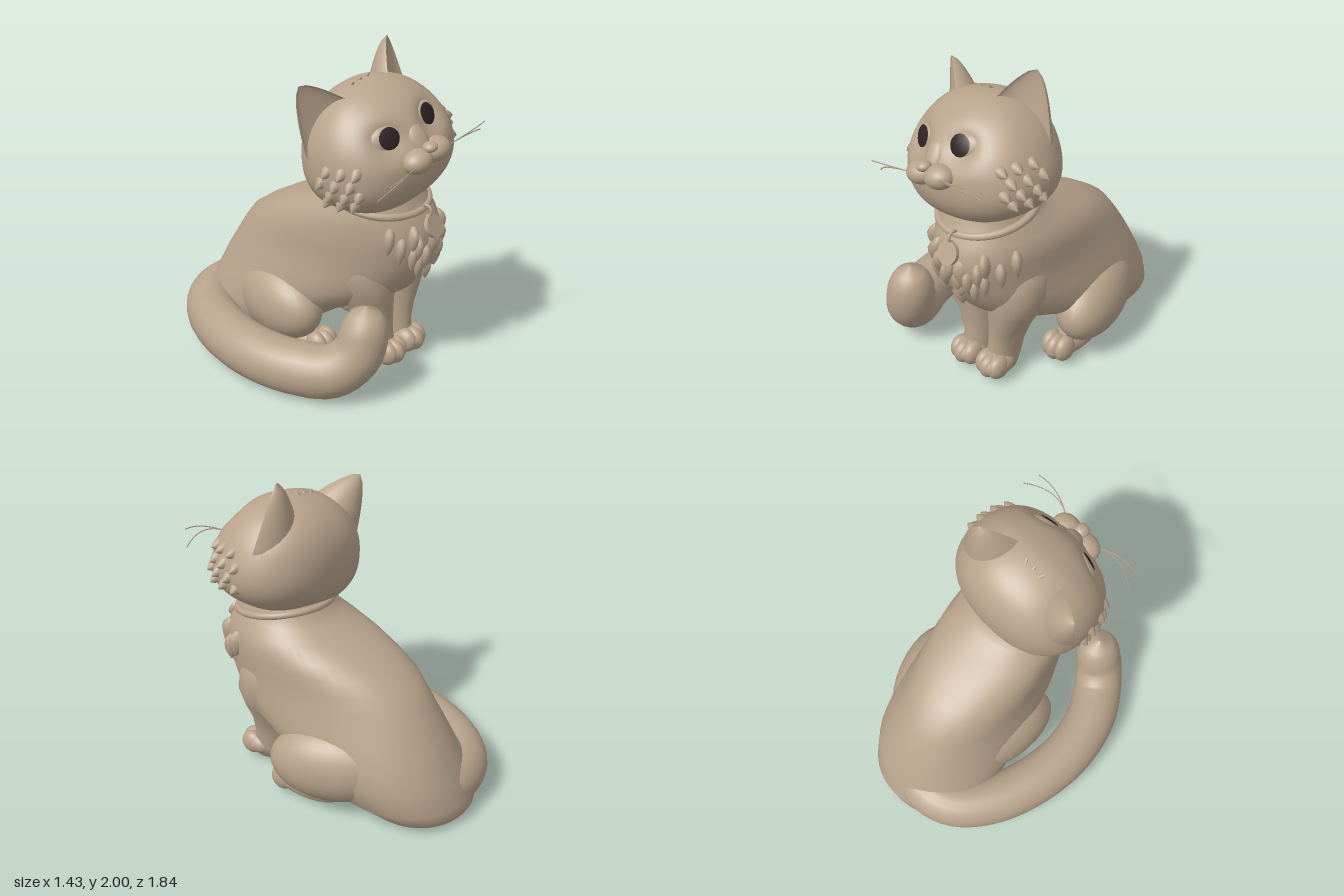
import * as THREE from 'three';
import { mergeVertices } from 'three/addons/utils/BufferGeometryUtils.js';

const V = (x, y, z) => new THREE.Vector3(x, y, z);
const MID = 0.18; // the body's own centre line
const UP = V(0, 1, 0);

// Smooth closed skin over a stack of rings
function loft(rings) {
  const n = rings[0].length, m = rings.length, pos = [], idx = [];
  rings.forEach((r) => r.forEach((p) => pos.push(p.x, p.y, p.z)));
  for (const r of [rings[0], rings[m - 1]]) {
    const c = r.reduce((a, p) => a.add(p), V(0, 0, 0)).divideScalar(n);
    pos.push(c.x, c.y, c.z);
  }
  for (let j = 0; j < n; j++) {
    const k = (j + 1) % n;
    for (let i = 0; i < m - 1; i++) {
      const a = i * n + j, b = i * n + k;
      idx.push(a, a + n, b, a + n, b + n, b);
    }
    idx.push(m * n, j, k, m * n + 1, (m - 1) * n + k, (m - 1) * n + j);
  }
  const g = new THREE.BufferGeometry();
  g.setAttribute('position', new THREE.Float32BufferAttribute(pos, 3));
  g.setIndex(idx);
  g.computeVertexNormals();
  return g;
}

// Horizontal rounded ring
function ring(y, cx, cz, hw, d, power = 2, n = 32) {
  const bend = (v) => Math.sign(v) * Math.abs(v) ** (2 / power);
  return Array.from({ length: n }, (_, j) => {
    const a = (j / n) * Math.PI * 2;
    return V(cx + hw * bend(Math.cos(a)), y, cz + d * bend(Math.sin(a)));
  });
}

// Torso table: height, back z, front z, centre x, half width
const TORSO_POWER = 2.15;
const TORSO = [
  [0, -0.87, -0.42, 0.11, 0.26], [0.05, -0.92, -0.25, 0.12, 0.35], [0.15, -0.925, -0.02, 0.14, 0.42],
  [0.3, -0.86, 0.2, 0.16, 0.445], [0.42, -0.805, 0.45, 0.17, 0.44], [0.52, -0.755, 0.6, 0.17, 0.425],
  [0.62, -0.695, 0.68, 0.17, 0.405], [0.72, -0.63, 0.735, 0.165, 0.385], [0.82, -0.55, 0.765, 0.16, 0.38],
  [0.9, -0.43, 0.77, 0.16, 0.375], [0.97, -0.3, 0.755, 0.16, 0.365], [1.04, -0.12, 0.725, 0.15, 0.34],
  [1.1, 0.03, 0.685, 0.14, 0.3], [1.17, 0.11, 0.66, 0.13, 0.275], [1.28, 0.14, 0.62, 0.12, 0.26],
];
function chestZ(x, y) {
  const i = TORSO.findIndex((r) => r[0] >= y);
  const a = TORSO[i - 1], b = TORSO[i], t = (y - a[0]) / (b[0] - a[0]);
  const [, zb, zf, cx, hw] = a.map((v, k) => v + (b[k] - v) * t);
  const q = Math.min(1, Math.abs((x - cx) / hw));
  return (zf + zb) / 2 + ((zf - zb) / 2) * (1 - q ** TORSO_POWER) ** (1 / TORSO_POWER);
}

// Head: a rounded ellipsoid, narrower and sloping back towards the top, with eye sockets
const RX = 0.465, RY = 0.365, RZ = 0.38, HP = 2.3, EYE = [0.172, 0.14];
function setBack(x, y) {
  const dent = Math.exp(-(((Math.abs(x) - EYE[0]) / 0.1) ** 2) - ((y - EYE[1]) / 0.08) ** 2);
  return 0.12 * y + 0.12 * Math.max(0, y) + 0.07 * dent;
}
function headPoint(d) {
  const f = (Math.abs(d.x) ** HP + Math.abs(d.y) ** HP + Math.abs(d.z) ** HP) ** (-1 / HP);
  const y = d.y * f, x = d.x * f * RX * (1 - 0.16 * y), z = d.z * f * RZ;
  return V(x, y * RY, z - setBack(x, y * RY) * THREE.MathUtils.smoothstep(z, -0.1, 0.2));
}
function faceZ(x, y) {
  const Y = y / RY, X = x / (RX * (1 - 0.16 * Y));
  return RZ * Math.max(0, 1 - Math.abs(X) ** HP - Math.abs(Y) ** HP) ** (1 / HP) - setBack(x, y);
}
function headGeometry() {
  const g = new THREE.SphereGeometry(1, 72, 54), p = g.attributes.position;
  for (let i = 0; i < p.count; i++) {
    const q = headPoint(V(0, 0, 0).fromBufferAttribute(p, i));
    p.setXYZ(i, q.x, q.y, q.z);
  }
  g.deleteAttribute('uv');
  g.deleteAttribute('normal');
  const out = mergeVertices(g, 1e-5);
  out.computeVertexNormals();
  return out;
}

// Cupped ear, hollow towards the front
function earGeometry(side) {
  const u = V(0.76, -0.56, -0.36), f = V(0.45, 0.15, 0.88).normalize(), rings = [];
  for (let i = 0; i <= 14; i++) {
    const t = -0.25 + 1.25 * (i / 14), s = Math.max(0.001, 1 - Math.max(t, 0)) ** 0.66;
    const c = V(0.29, 0.17, -0.05).lerp(V(0.375, 0.468, -0.17), t);
    const r = Array.from({ length: 24 }, (_, j) => {
      const a = (j / 24) * Math.PI * 2, k = Math.sin(a);
      const p = c.clone().addScaledVector(u, 0.205 * s * Math.cos(a));
      p.addScaledVector(f, (k > 0 ? -0.06 : 0.2) * s * k);
      p.x *= side;
      return p;
    });
    rings.push(side < 0 ? r.reverse() : r);
  }
  return loft(rings);
}

function tailGeometry() {
  const curve = new THREE.CatmullRomCurve3([
    V(0.25, 0.18, -0.62), V(0.05, 0.175, -0.75), V(-0.14, 0.17, -0.735), V(-0.32, 0.165, -0.59), V(-0.47, 0.165, -0.33),
    V(-0.55, 0.165, 0), V(-0.525, 0.165, 0.3), V(-0.44, 0.18, 0.5), V(-0.36, 0.29, 0.61), V(-0.32, 0.43, 0.635), V(-0.315, 0.6, 0.64),
  ]);
  const N = 56, fr = curve.computeFrenetFrames(N, false), rings = [];
  for (let i = 0; i <= N; i++) {
    const t = i / N, e = Math.max(0, (t - 0.92) / 0.08);
    const r = (0.165 + 0.06 * Math.max(0, 0.2 - t) - 0.1 * Math.max(0, t - 0.75)) * Math.sqrt(Math.max(0.0004, 1 - e * e));
    const c = curve.getPointAt(t);
    rings.push(Array.from({ length: 24 }, (_, j) => {
      const a = (j / 24) * Math.PI * 2;
      return c.clone().addScaledVector(fr.normals[i], r * Math.cos(a)).addScaledVector(fr.binormals[i], -r * Math.sin(a));
    }));
  }
  return loft(rings);
}

// Lock of fur: rounded root, pointed tip
const LOCK = new THREE.LatheGeometry(
  [[0, -0.5], [0.5, -0.44], [0.88, -0.28], [1, -0.08], [0.8, 0.14], [0.42, 0.34], [0, 0.5]].map(([x, y]) => new THREE.Vector2(x, y)), 12);

export function createModel() {
  const fur = new THREE.MeshStandardMaterial({ color: 0xb8a38b });
  fur.name = 'tan fur';
  const dark = new THREE.MeshStandardMaterial({ color: 0x2e2324 });
  dark.name = 'dark pupil';

  const root = new THREE.Group();
  root.name = 'sittingCat';
  const add = (parent, name, geo, p = [0, 0, 0], mat = fur) => {
    const m = new THREE.Mesh(geo, mat);
    m.name = name;
    m.position.set(...p);
    parent.add(m);
    return m;
  };
  const blob = (parent, name, p, r) => {
    const m = add(parent, name, new THREE.SphereGeometry(1, 28, 20), p);
    m.scale.set(...r);
    return m;
  };
  const tuft = (parent, name, p, dir, r, len, flat) => {
    const m = add(parent, name, LOCK, [p.x, p.y, p.z]);
    m.scale.set(r, len, r * flat);
    m.quaternion.setFromUnitVectors(UP, dir.normalize());
  };

  // Torso and tail
  add(root, 'torso', loft(TORSO.map(([y, zb, zf, cx, hw]) => ring(y, cx, (zb + zf) / 2, hw, (zf - zb) / 2, TORSO_POWER, 48))));
  add(root, 'tail', tailGeometry());

  // Legs and paws, mirrored about the body's centre line
  const LEG = [[0.04, 0.095, 0.46, 0.08, 0.11], [0.12, 0.095, 0.44, 0.09, 0.13], [0.22, 0.1, 0.42, 0.095, 0.13],
    [0.34, 0.115, 0.4, 0.115, 0.155], [0.46, 0.145, 0.39, 0.15, 0.18], [0.6, 0.165, 0.38, 0.185, 0.21],
    [0.75, 0.15, 0.37, 0.195, 0.2], [0.9, 0.1, 0.36, 0.17, 0.15]];
  for (const s of [-1, 1]) {
    add(root, 'frontLeg', loft(LEG.map(([y, o, z, w, d]) => ring(y, MID + s * o, z, w, d))));
    blob(root, 'frontPaw', [MID + s * 0.105, 0.105, 0.52], [0.104, 0.08, 0.13]);
    const thigh = blob(root, 'haunch', [MID + s * 0.3, 0.335, -0.19], [0.21, 0.25, 0.4]);
    thigh.rotation.set(0.05, s * 0.3, 0);
    blob(root, 'hindFoot', [MID + s * 0.3, 0.1, 0], [0.1, 0.09, 0.26]);
    for (const k of [-1, 0, 1]) {
      blob(root, 'frontToe', [MID + s * 0.105 + k * 0.05, 0.105, 0.575 - 0.02 * k * k], [0.054, 0.078, 0.08]);
      blob(root, 'hindToe', [MID + s * 0.3 + k * 0.05, 0.11, 0.18 - 0.02 * k * k], [0.054, 0.085, 0.08]);
    }
  }

  // Ragged bib of chest fur, open behind the tag
  for (const [y, half, n] of [[0.92, 0.27, 6], [0.86, 0.22, 6], [0.8, 0.15, 5], [0.74, 0.09, 3], [0.69, 0.01, 1]]) {
    for (let i = 0; i < n; i++) {
      const o = n > 1 ? (i / (n - 1)) * 2 - 1 : 0.3;
      if (y > 0.9 && Math.abs(o) < 0.3) continue;
      const x = MID + 0.01 + o * half;
      tuft(root, 'chestTuft', V(x, y, chestZ(x, y) - 0.022), V(o * 0.2, -1, 0.08), 0.06, 0.18, 0.6);
    }
  }

  // Collar with ring and tag
  const collar = add(root, 'collar', new THREE.TorusGeometry(0.295, 0.023, 12, 56).rotateX(Math.PI / 2), [0.13, 1.118, 0.405]);
  collar.rotation.set(0.18, 0, 0.07);
  add(root, 'tagRing', new THREE.TorusGeometry(0.033, 0.009, 8, 24).rotateY(Math.PI / 2), [0.155, 1.065, 0.725]);
  const tag = add(root, 'tag', new THREE.CylinderGeometry(0.07, 0.07, 0.025, 32).rotateX(Math.PI / 2), [0.16, 0.98, 0.772]);
  tag.rotation.x = -0.42;

  // Head, tilted to one side
  const head = new THREE.Group();
  head.name = 'head';
  head.position.set(0.09, 1.46, 0.4);
  head.rotation.set(0, -0.11, 0.22);
  root.add(head);
  add(head, 'skull', headGeometry());

  for (const s of [-1, 1]) {
    add(head, 'ear', earGeometry(s));
    // Eyeball with a dark cap as pupil
    const eye = new THREE.Group();
    eye.name = 'eye';
    eye.position.set(s * EYE[0], EYE[1], faceZ(...EYE) - 0.002);
    eye.rotation.set(-0.4, s * 0.3, s * 0.1);
    eye.scale.set(0.102, 0.078, 0.042);
    head.add(eye);
    add(eye, 'eyeball', new THREE.SphereGeometry(1, 28, 20));
    const pupil = add(eye, 'pupil', new THREE.SphereGeometry(1.05, 28, 12, 0, Math.PI * 2, 0, 0.68).rotateX(Math.PI / 2), [0, 0, 0], dark);
    pupil.rotation.y = -s * 0.2;
    pupil.scale.y = 1.25;
    blob(head, 'muzzle', [s * 0.08, -0.005, 0.375], [0.097, 0.07, 0.085]);

    // Cheek fur, mostly sunk into the skin
    for (let r = 0; r < 4; r++) {
      for (let c = 0; c < 3; c++) {
        const d = V(s, -0.62 + r * 0.22, -0.06 + c * 0.28 + (r % 2) * 0.14).normalize();
        const p = headPoint(d).addScaledVector(d, -0.022);
        tuft(head, 'cheekTuft', p, V(s, d.y * 0.6 - 0.3, d.z * 0.4), 0.045, 0.13, 0.9);
      }
    }
    // Whiskers
    for (const [ex, ey, ez] of [[0.42, 0.03, 0.47], [0.46, -0.06, 0.4]]) {
      const path = new THREE.QuadraticBezierCurve3(V(s * 0.13, 0, 0.42), V(s * 0.27, 0.05, 0.5), V(s * ex, ey, ez));
      add(head, 'whisker', new THREE.TubeGeometry(path, 16, 0.0035, 5));
    }
  }
  blob(head, 'noseBridge', [0, 0.07, 0.32], [0.07, 0.12, 0.055]).rotation.x = -0.5;
  blob(head, 'nose', [0, 0.055, 0.41], [0.045, 0.03, 0.045]);
  blob(head, 'chin', [0, -0.1, 0.32], [0.12, 0.09, 0.055]);
  // Small tufts on the crown
  for (const k of [-1, 0, 1]) tuft(head, 'crownTuft', V(0.01 + k * 0.06, 0.355, -0.08), V(k * 0.3, 0.6, 0.5), 0.016, 0.07, 0.6);

  return root;
}
